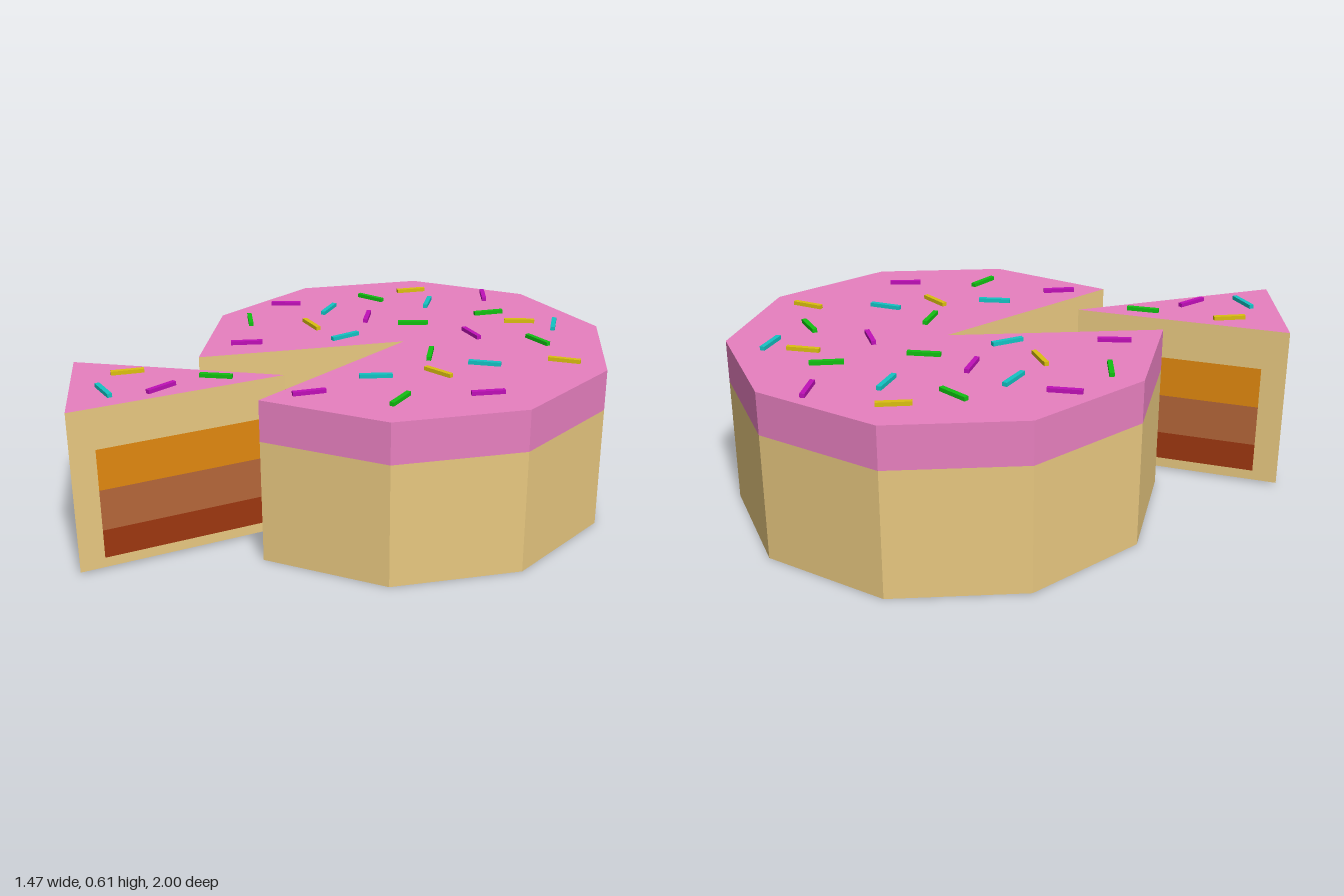
import * as THREE from 'three';

const TAN = 0xe8c880, PINK = 0xe880c0;
const LAYERS = [['darkLayer', 0x9d3710, 0.045, 0.15], ['brownLayer', 0xb46639, 0.15, 0.3], ['orangeLayer', 0xe0880f, 0.3, 0.45]];
const GREEN = 0x12c012, MAGENTA = 0xc010b8, CYAN = 0x14c4c4, YELLOW = 0xdcc010;

const mat = (color) => new THREE.MeshStandardMaterial({ color, flatShading: true });

function add(group, name, geometry, color) {
  const mesh = new THREE.Mesh(geometry, mat(color));
  mesh.name = name;
  group.add(mesh);
  return mesh;
}

// Upright strip along a path of [x, z] points (clockwise seen from above faces outward)
function wall(path, y0, y1) {
  const pos = [];
  for (let i = 0; i + 1 < path.length; i++) {
    const [px, pz] = path[i], [qx, qz] = path[i + 1];
    pos.push(qx, y0, qz, px, y0, pz, px, y1, pz, qx, y0, qz, px, y1, pz, qx, y1, qz);
  }
  const g = new THREE.BufferGeometry();
  g.setAttribute('position', new THREE.Float32BufferAttribute(pos, 3));
  g.computeVertexNormals();
  return g;
}

// Flat horizontal face filling an outline
function cap(outline, y, up) {
  const s = up ? -1 : 1;
  const shape = new THREE.Shape(outline.map(([x, z]) => new THREE.Vector2(x, s * z)));
  return new THREE.ShapeGeometry(shape).rotateX(s * Math.PI / 2).translate(0, y, 0);
}

// Cut face with the inner layers running from near the rind to the tip
function cutFace(group, rind, tip, y0, y1, flip) {
  const order = (a, b) => (flip ? [b, a] : [a, b]);
  add(group, 'cutFace', wall(order(rind, tip), y0, y1), TAN);
  const [a, b] = order(rind, tip);
  const dx = b[0] - a[0], dz = b[1] - a[1], len = Math.hypot(dx, dz);
  const off = [dz / len * 0.002, -dx / len * 0.002];
  const at = (t) => [0, 1].map((k) => rind[k] + (tip[k] - rind[k]) * t + off[k]);
  for (const [name, color, low, high] of LAYERS)
    add(group, name, wall(order(at(0.115), at(1)), low, high), color);
}

function cakePiece(name, rim, tip, y0, y1) {
  const g = new THREE.Group();
  g.name = name;
  const outline = [...rim, tip];
  add(g, 'side', wall(rim, y0, 0.45), TAN);
  add(g, 'icingSide', wall(rim, 0.45, y1), PINK);
  add(g, 'icingTop', cap(outline, y1, true), PINK);
  add(g, 'base', cap(outline, y0, false), TAN);
  cutFace(g, rim[rim.length - 1], tip, y0, y1, false);
  cutFace(g, rim[0], tip, y0, y1, true);
  return g;
}

// Sprinkles: colour, then x, z and heading in degrees
const CAKE_SPRINKLES = [
  [MAGENTA, -0.085, -0.87, 49], [YELLOW, -0.35, -0.73, -55], [CYAN, -0.2, -0.65, 61],
  [GREEN, 0.06, -0.705, -56], [YELLOW, 0.21, -0.7, -38], [CYAN, 0.33, -0.755, 60],
  [GREEN, -0.41, -0.545, -5], [GREEN, 0.385, -0.565, 13], [YELLOW, 0.575, -0.45, -24],
  [MAGENTA, 0.155, -0.465, 23], [GREEN, -0.085, -0.415, -42], [MAGENTA, -0.265, -0.355, 57],
  [CYAN, -0.44, -0.325, 71], [MAGENTA, -0.615, -0.265, -40], [YELLOW, -0.365, -0.145, 20],
  [CYAN, -0.18, -0.13, -76], [GREEN, -0.58, -0.03, 41], [MAGENTA, -0.405, 0.16, -47],
  [GREEN, 0.175, -0.19, 57], [CYAN, 0.38, -0.24, -29], [YELLOW, 0.31, -0.065, 1],
  [MAGENTA, 0.55, -0.025, -50], [CYAN, 0.17, 0.105, -44], [GREEN, 0.365, 0.21, 80],
  [MAGENTA, 0.1, 0.365, -57],
];
const SLICE_SPRINKLES = [
  [GREEN, -0.25, 0.46, -34], [YELLOW, -0.51, 0.635, -57],
  [MAGENTA, -0.31, 0.655, -87], [CYAN, -0.435, 0.8, 17],
];

function sprinkle(group, list, top) {
  const box = new THREE.BoxGeometry(0.115, 0.02, 0.017);
  for (const [color, x, z, deg] of list) {
    const m = add(group, 'sprinkle', box, color);
    m.position.set(x, top + 0.004, z);
    m.rotation.y = -THREE.MathUtils.degToRad(deg);
  }
}

export function createModel() {
  const model = new THREE.Group();
  model.name = 'slicedCake';

  // Ten-sided cake with one wedge missing at the front left
  const rim = [];
  for (let k = 6; k <= 15; k++) {
    const a = k * Math.PI / 5;
    rim.push([0.012 + 0.76 * Math.sin(a), -0.242 - 0.758 * Math.cos(a)]);
  }
  const cake = cakePiece('cake', rim, [0.012, -0.242], 0, 0.6);
  sprinkle(cake, CAKE_SPRINKLES, 0.6);

  // The wedge, pulled out and turned
  const slice = cakePiece('slice', [[-0.385, 0.997], [-0.74, 0.69]], [-0.088, 0.29], 0.008, 0.597);
  sprinkle(slice, SLICE_SPRINKLES, 0.597);

  model.add(cake, slice);
  return model;
}
